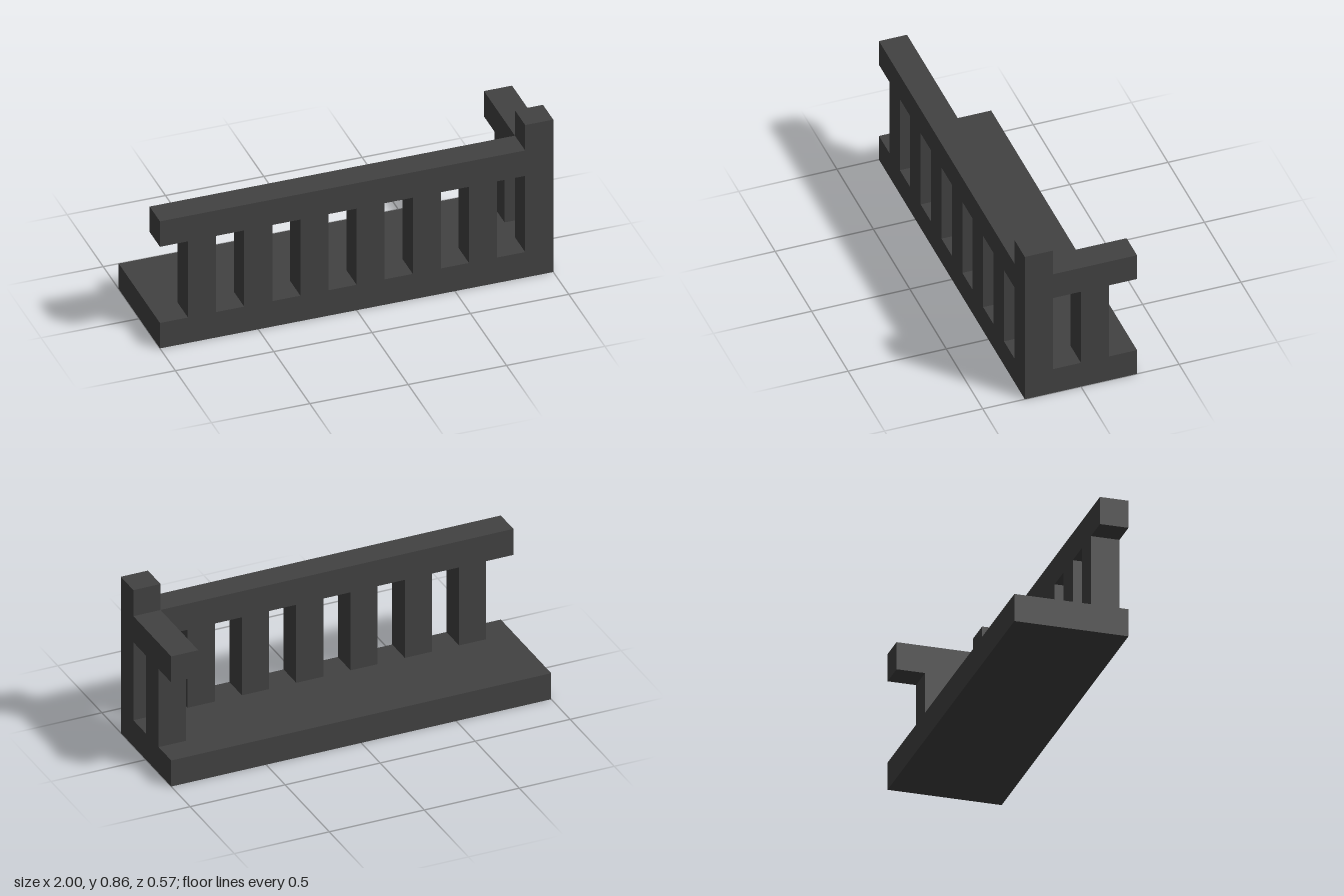
import * as THREE from 'three';

// Everything sits on a grid of 14 x 6 x 4 cells
const U = 1 / 7;

export function createModel() {
  const model = new THREE.Group();
  model.name = 'cornerBalustrade';
  const stone = new THREE.MeshStandardMaterial({ color: 0x424242 });
  stone.name = 'darkStone';

  // Box given by its minimum and maximum corners in grid cells
  function block(name, [x0, y0, z0], [x1, y1, z1]) {
    const geometry = new THREE.BoxGeometry((x1 - x0) * U, (y1 - y0) * U, (z1 - z0) * U);
    const mesh = new THREE.Mesh(geometry, stone);
    mesh.name = name;
    mesh.position.set((x0 + x1) / 2, (y0 + y1) / 2, (z0 + z1) / 2).multiplyScalar(U);
    model.add(mesh);
  }

  // Floor slab and tall corner post
  block('floorSlab', [-7, 0, -2], [7, 1, 2]);
  block('cornerPost', [6, 1, 1], [7, 6, 2]);

  // Handrails meeting at the corner post
  block('frontRail', [-7, 4, 1], [6, 5, 2]);
  block('sideRail', [6, 4, -2], [7, 5, 1]);

  // Balusters: six along the front, one on the side
  for (let i = 0; i < 6; i++) {
    const x = -6 + i * 2;
    block(`frontBaluster${i + 1}`, [x, 1, 1], [x + 1, 4, 2]);
  }
  block('sideBaluster', [6, 1, -1], [7, 4, 0]);

  return model;
}
